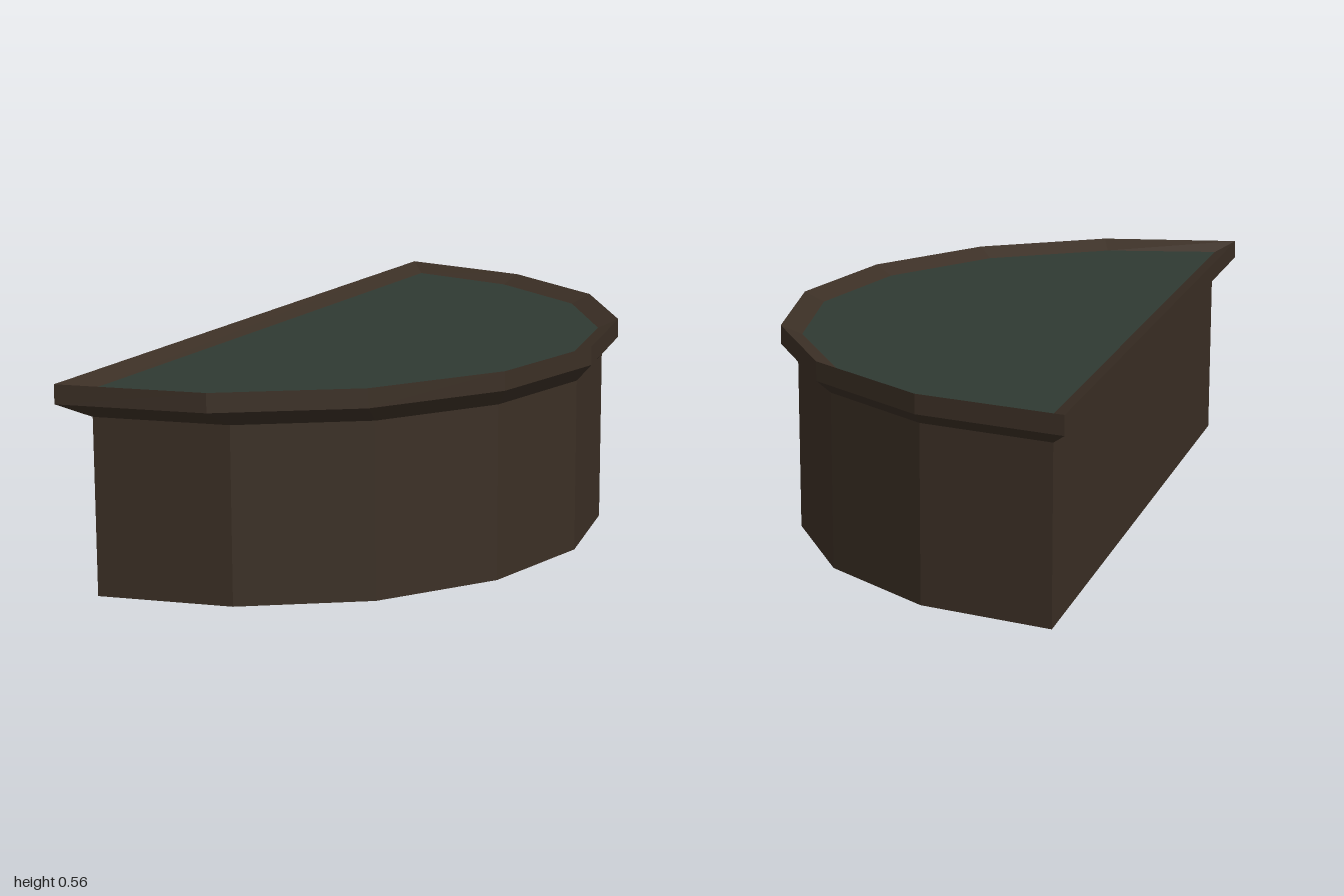
import * as THREE from 'three';

const SEGMENTS = 8;

// Half-round outline at height y: an arc bulging to +x, closed by a straight side
function outline(centerX, radius, y, minX = -0.5) {
  const points = [];
  for (let i = 0; i <= SEGMENTS; i++) {
    const t = (i / SEGMENTS) * Math.PI;
    const x = centerX + radius * Math.sin(t);
    points.push([Math.max(x, minX), y, radius * Math.cos(t)]);
  }
  return points;
}

function facetedGeometry(positions) {
  const geometry = new THREE.BufferGeometry();
  geometry.setAttribute('position', new THREE.Float32BufferAttribute(positions.flat(), 3));
  geometry.computeVertexNormals();
  return geometry;
}

// Band of quads joining two outlines
function band(from, to) {
  const positions = [];
  from.forEach((a, i) => {
    const j = (i + 1) % from.length;
    positions.push(a, from[j], to[j], a, to[j], to[i]);
  });
  return facetedGeometry(positions);
}

// Flat sheet filling an outline, facing up
function sheet(loop) {
  const positions = [];
  for (let i = 1; i < loop.length - 1; i++) positions.push(loop[0], loop[i], loop[i + 1]);
  return facetedGeometry(positions);
}

export function createModel() {
  const wood = new THREE.MeshStandardMaterial({ color: 0x3b2f25, side: THREE.DoubleSide, flatShading: true });
  wood.name = 'darkBrown';
  const felt = new THREE.MeshStandardMaterial({ color: 0x2f3a32, side: THREE.DoubleSide, flatShading: true });
  felt.name = 'darkGreen';

  const model = new THREE.Group();
  model.name = 'halfRoundTable';
  const add = (name, geometry, material) => {
    const mesh = new THREE.Mesh(geometry, material);
    mesh.name = name;
    model.add(mesh);
  };

  const foot = outline(-0.45, 0.91, 0);
  const neck = outline(-0.45, 0.91, 0.46);
  const rimBottom = outline(-0.5, 1, 0.505);
  const rimTop = outline(-0.5, 1, 0.555);
  const inner = outline(-0.5, 0.945, 0.53, -0.45);

  // Hollow base, open underneath
  add('baseWall', band(foot, neck), wood);
  // Overhanging rim: flare, upright edge and inward slope
  add('rimFlare', band(neck, rimBottom), wood);
  add('rimEdge', band(rimBottom, rimTop), wood);
  add('rimSlope', band(rimTop, inner), wood);
  // Sunken playing surface
  add('tableTop', sheet(inner), felt);

  return model;
}
